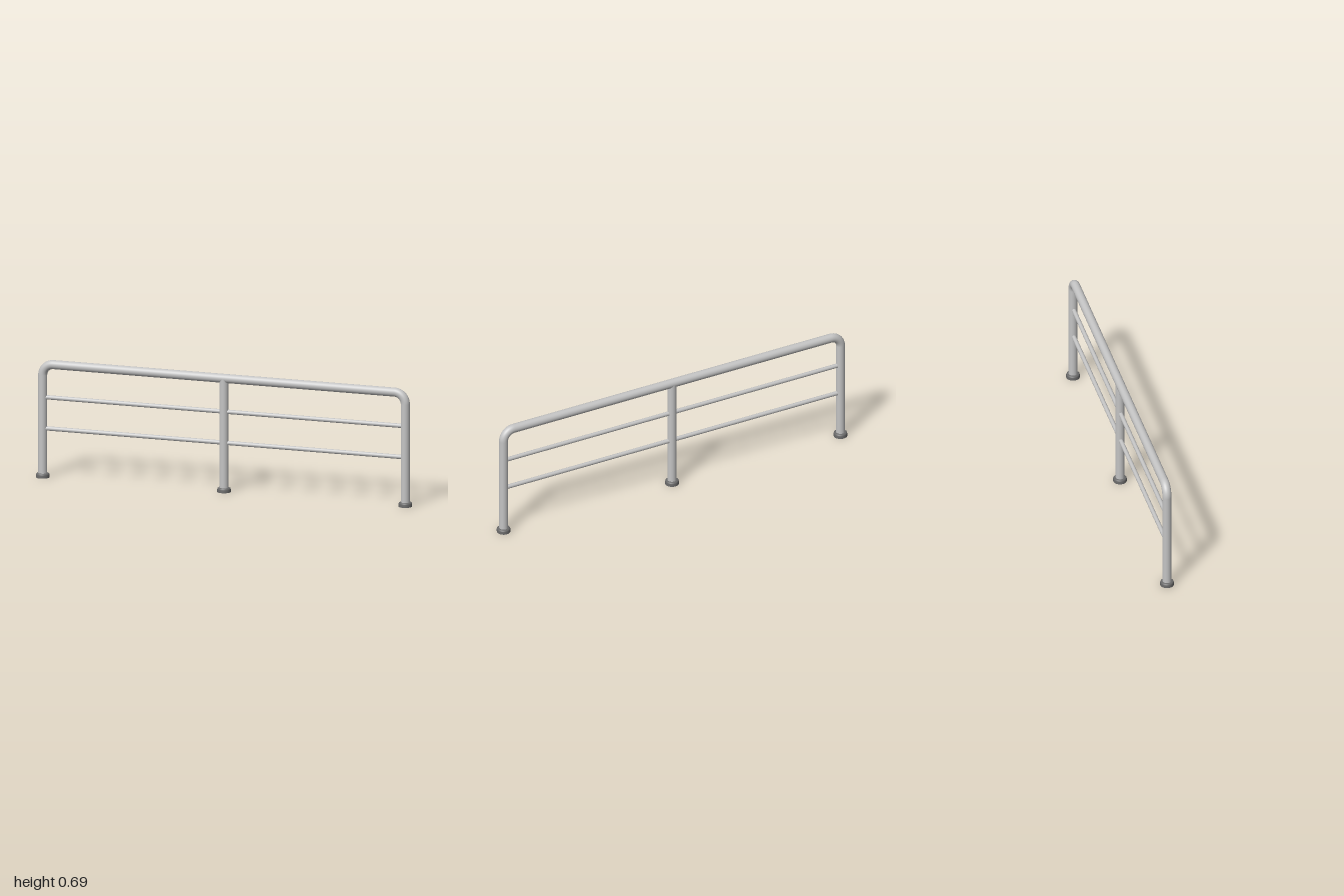
import * as THREE from 'three';

const HALF = 1.1;      // half distance between the end posts
const R = 0.026;       // main pipe radius
const TOP = 0.664;     // height of the top rail axis
const BEND = 0.065;    // bend radius of the pipe axis

export function createModel() {
  const steel = new THREE.MeshStandardMaterial({ color: 0xc4c4c4 });
  steel.name = 'brushedSteel';
  const darkGrey = new THREE.MeshStandardMaterial({ color: 0x6a6a6a });
  darkGrey.name = 'darkGreyFoot';

  const model = new THREE.Group();
  model.name = 'railing';
  // the railing runs diagonally
  const frame = new THREE.Group();
  frame.name = 'frame';
  frame.rotation.y = Math.atan2(0.537, 0.961);
  model.add(frame);

  const add = (name, geometry, material, x, y) => {
    const mesh = new THREE.Mesh(geometry, material);
    mesh.name = name;
    mesh.position.set(x, y, 0);
    frame.add(mesh);
    return mesh;
  };
  const post = (name, x, height) =>
    add(name, new THREE.CylinderGeometry(R, R, height, 32, 1, true), steel, x, height / 2);
  const rail = (name, radius, length, y) => {
    add(name, new THREE.CylinderGeometry(radius, radius, length, 32, 1, true), steel, 0, y)
      .rotation.z = Math.PI / 2;
  };

  // posts
  post('leftPost', HALF, TOP - BEND);
  post('rightPost', -HALF, TOP - BEND);
  post('middlePost', 0, TOP);

  // top rail with a quarter bend at each end
  rail('topRail', R, 2 * (HALF - BEND), TOP);
  for (const side of [1, -1]) {
    const bend = add(side > 0 ? 'leftBend' : 'rightBend',
      new THREE.TorusGeometry(BEND, R, 32, 16, Math.PI / 2), steel,
      side * (HALF - BEND), TOP - BEND);
    if (side < 0) bend.rotation.y = Math.PI;
  }

  // thin rails
  rail('upperRail', 0.0125, 2 * HALF, 0.47);
  rail('lowerRail', 0.0125, 2 * HALF, 0.288);

  // feet with rounded upper edges
  const profile = [[0, 0], [0.039, 0], [0.039, 0], [0.039, 0.016], [0.037, 0.022],
    [0.032, 0.026], [0.02, 0.026]].map(([x, y]) => new THREE.Vector2(x, y));
  const footGeometry = new THREE.LatheGeometry(profile, 32);
  ['rightFoot', 'middleFoot', 'leftFoot'].forEach((name, i) =>
    add(name, footGeometry, darkGrey, (i - 1) * HALF, 0));

  return model;
}
